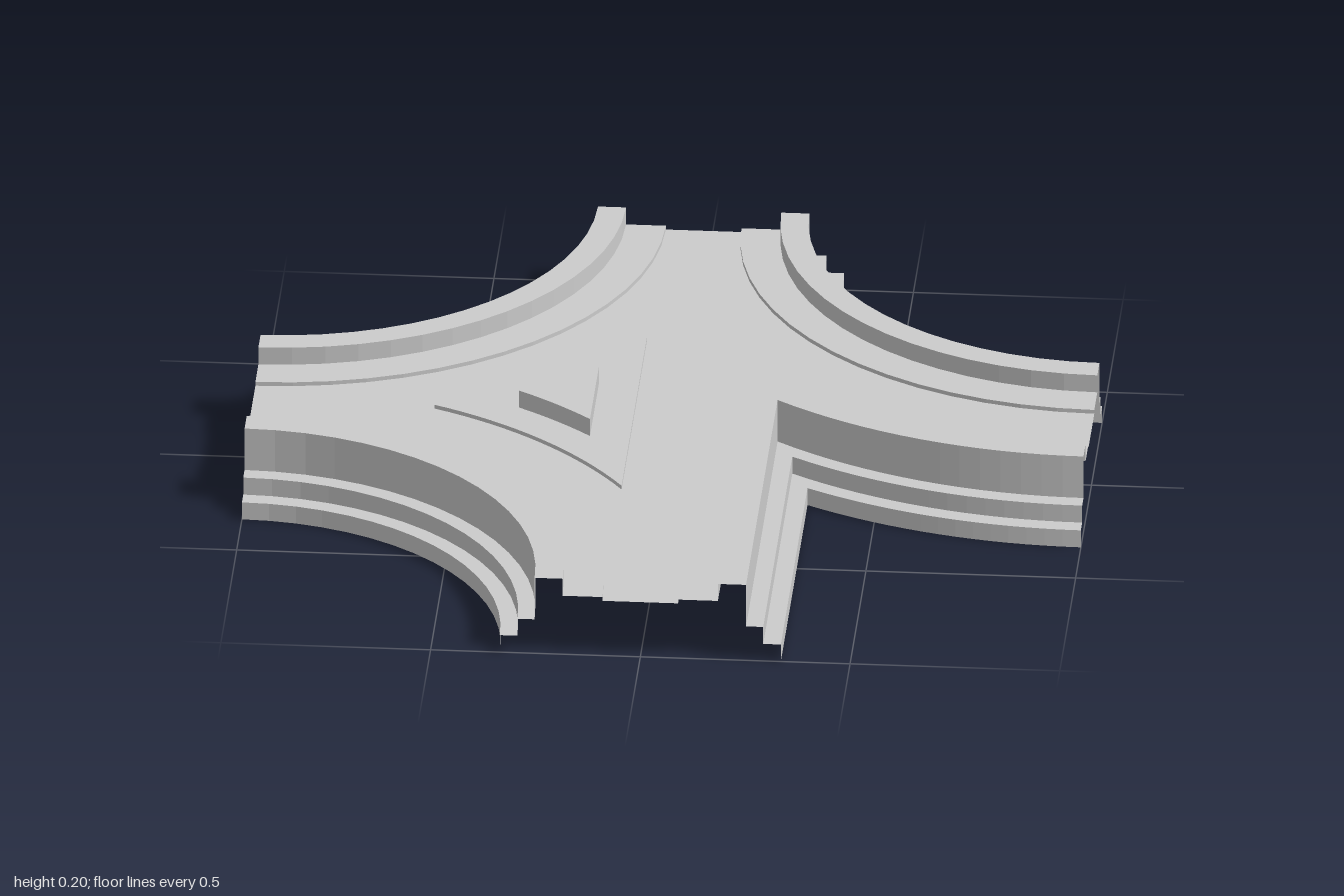
import * as THREE from 'three';

const SEG = 16;
const ROAD_Y = 0.145, WALK_Y = 0.155, TOP_Y = 0.2;
const CURB = 0.09, PARAPET = 0.185; // distances from the road centre line

// Cross-sections as [distance from centre line, height], from outside to road
const PROFILES = {
  steppedOuterWall: [[0.335, 0], [0.335, 0.045], [0.293, 0.045], [0.293, 0.09], [0.252, 0.09], [0.252, TOP_Y]],
  parapet: [[0.252, TOP_Y], [PARAPET, TOP_Y], [PARAPET, WALK_Y]],
  sidewalk: [[PARAPET, WALK_Y], [CURB, WALK_Y], [CURB, ROAD_Y]],
};
const ISLAND = {
  islandKerb: [[CURB, ROAD_Y], [CURB, WALK_Y], [PARAPET, WALK_Y]],
  islandPlinthWall: [[PARAPET, WALK_Y], [PARAPET, TOP_Y]],
};

// Points [x, z] on an arc
function arc(cx, cz, r, a0, a1) {
  return Array.from({ length: SEG + 1 }, (_, i) => {
    const a = a0 + ((a1 - a0) * i) / SEG;
    return [cx + r * Math.cos(a), cz + r * Math.sin(a)];
  });
}

// Rounded inside corner between two neighbouring arms
const roundCorner = (cx, cz, start) => (o) => arc(cx, cz, 1 - o, start, start - Math.PI / 2);

// Corner where a curved arm meets the straight arm
const meetZ = (o) => -1 + 2 * Math.sqrt(o);
const sharpCorner = (o) => [
  ...arc(1, -1, 1 + o, Math.PI / 2, Math.atan2(meetZ(o) + 1, o - 1)),
  [o, 1],
];

// Curved triangle of the traffic island
function islandOutline(o) {
  const tip = Math.acos(1 / (1 + o)); // angle measured from the z axis
  const back = arc(-1, -1, 1 + o, Math.PI / 2 - tip, Math.atan2(meetZ(o) + 1, 1 - o));
  const side = back.map(([x, z]) => [x, -z]).reverse();
  return [...side, ...back];
}

// Sweep a cross-section along a path that depends on the offset
function sweep(path, profile) {
  const pos = [];
  for (let j = 0; j < profile.length - 1; j++) {
    const [o0, y0] = profile[j], [o1, y1] = profile[j + 1];
    const p = path(o0), q = path(o1);
    for (let i = 0; i < p.length - 1; i++) {
      const a = [p[i][0], y0, p[i][1]], b = [q[i][0], y1, q[i][1]];
      const c = [q[i + 1][0], y1, q[i + 1][1]], d = [p[i + 1][0], y0, p[i + 1][1]];
      pos.push(...a, ...b, ...c, ...a, ...c, ...d);
    }
  }
  const g = new THREE.BufferGeometry();
  g.setAttribute('position', new THREE.Float32BufferAttribute(pos, 3));
  g.computeVertexNormals();
  return g;
}

// Horizontal plate from an outline
const toVectors = (pts) => pts.map(([x, z]) => new THREE.Vector2(x, -z));
function plate(outline, y, hole) {
  const shape = new THREE.Shape(toVectors(outline));
  if (hole) shape.holes.push(new THREE.Path(toVectors(hole)));
  return new THREE.ShapeGeometry(shape).rotateX(-Math.PI / 2).translate(0, y, 0);
}

export function createModel() {
  const model = new THREE.Group();
  model.name = 'roadJunction';
  const stone = new THREE.MeshStandardMaterial({ color: 0xcccccc, side: THREE.DoubleSide, flatShading: true });
  stone.name = 'grey stone';

  const add = (parent, name, geometry) => {
    const mesh = new THREE.Mesh(geometry, stone);
    mesh.name = name;
    parent.add(mesh);
  };

  // Walls and sidewalks around the four corners
  const corners = {
    backLeftCorner: roundCorner(1, -1, Math.PI),
    backRightCorner: roundCorner(-1, -1, Math.PI / 2),
    frontRightCorner: roundCorner(-1, 1, 0),
    frontLeftCorner: sharpCorner,
  };
  for (const [name, path] of Object.entries(corners)) {
    const group = new THREE.Group();
    group.name = name;
    for (const [part, profile] of Object.entries(PROFILES)) add(group, part, sweep(path, profile));
    model.add(group);
  }

  // Road surface, open under the island
  const outline = [
    ...sharpCorner(CURB).reverse(),
    ...corners.backLeftCorner(CURB).reverse(),
    ...corners.backRightCorner(CURB).reverse(),
    ...corners.frontRightCorner(CURB).reverse(),
  ];
  // The island outline closes on itself through its straight side
  const closed = (o) => {
    const p = islandOutline(o);
    return [...p, p[0]];
  };
  add(model, 'roadSurface', plate(outline, ROAD_Y, islandOutline(CURB)));

  // Traffic island with a raised plinth
  const island = new THREE.Group();
  island.name = 'trafficIsland';
  for (const [part, profile] of Object.entries(ISLAND)) add(island, part, sweep(closed, profile));
  add(island, 'islandPlinthTop', plate(islandOutline(PARAPET), TOP_Y));
  model.add(island);

  return model;
}
